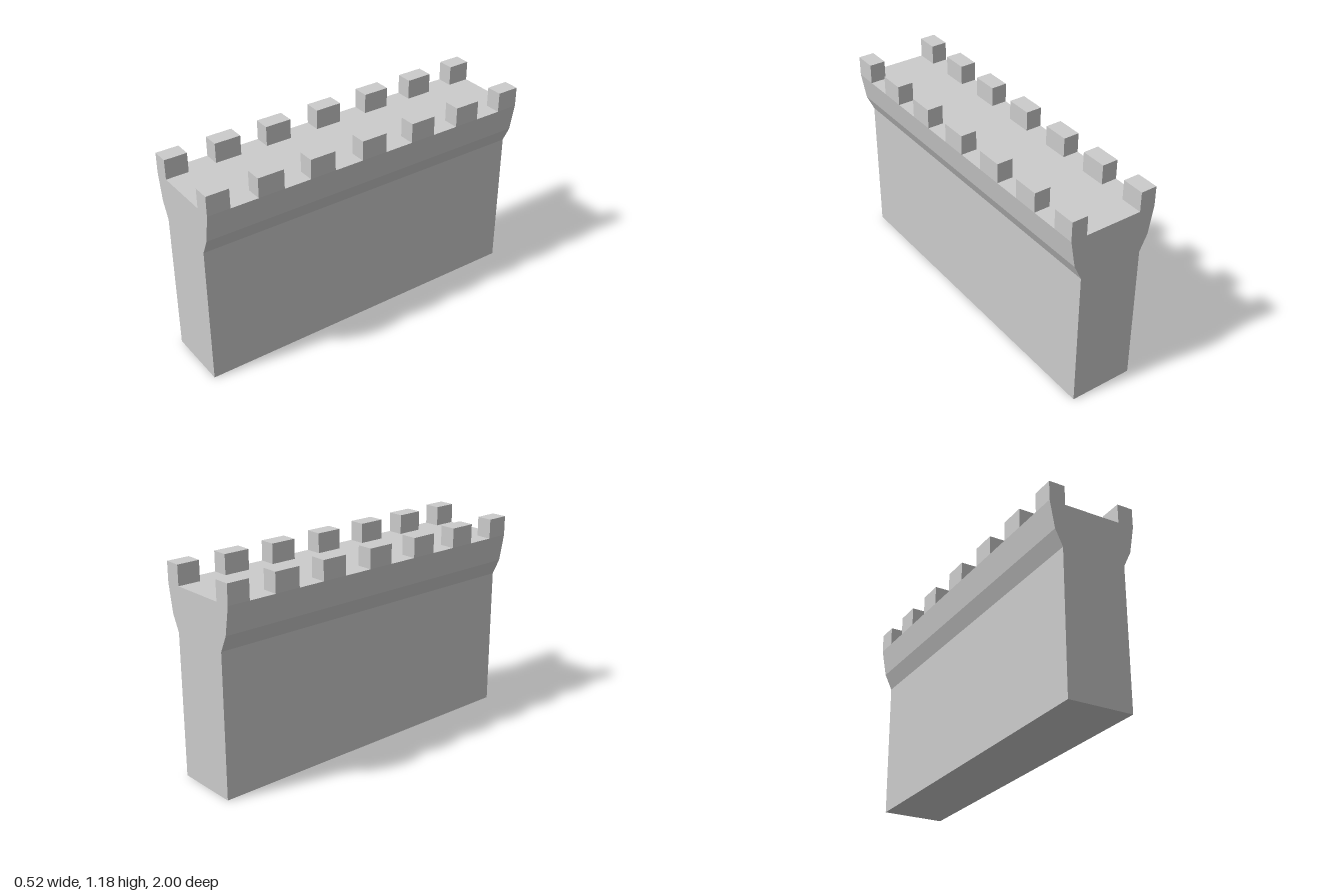
import * as THREE from 'three';

const LENGTH = 2;
const DECK_Y = 1.07;
const TOP_Y = 1.183;
const OUTER_X = 0.258;
const INNER_X = 0.165;

export function createModel() {
  const group = new THREE.Group();
  group.name = 'battlementWall';
  const material = new THREE.MeshStandardMaterial({ color: 0xcccccc, flatShading: true });

  // Wall: straight lower part flaring out in two slopes, extruded along z
  const half = [[0.186, 0], [0.186, 0.817], [0.23, 0.91], [OUTER_X, DECK_Y]];
  const mirrored = half.map(([x, y]) => [-x, y]).reverse();
  const profile = new THREE.Shape([...half, ...mirrored].map(([x, y]) => new THREE.Vector2(x, y)));
  const wallGeometry = new THREE.ExtrudeGeometry(profile, { depth: LENGTH, bevelEnabled: false });
  wallGeometry.translate(0, 0, -LENGTH / 2);
  const wall = new THREE.Mesh(wallGeometry, material);
  wall.name = 'wall';
  group.add(wall);

  // Merlons: a row of blocks on each edge of the deck, [back z, front z]
  const spans = [
    [-1, -0.87], [-0.712, -0.56], [-0.402, -0.25], [-0.078, 0.076],
    [0.248, 0.4], [0.558, 0.71], [0.87, 1],
  ];
  for (const side of [1, -1]) {
    const row = new THREE.Group();
    row.name = side > 0 ? 'leftMerlons' : 'rightMerlons';
    for (const [back, front] of spans) {
      const block = new THREE.BoxGeometry(OUTER_X - INNER_X, TOP_Y - DECK_Y, front - back);
      const merlon = new THREE.Mesh(block, material);
      merlon.name = 'merlon';
      merlon.position.set(side * (OUTER_X + INNER_X) / 2, (TOP_Y + DECK_Y) / 2, (back + front) / 2);
      row.add(merlon);
    }
    group.add(row);
  }

  return group;
}
